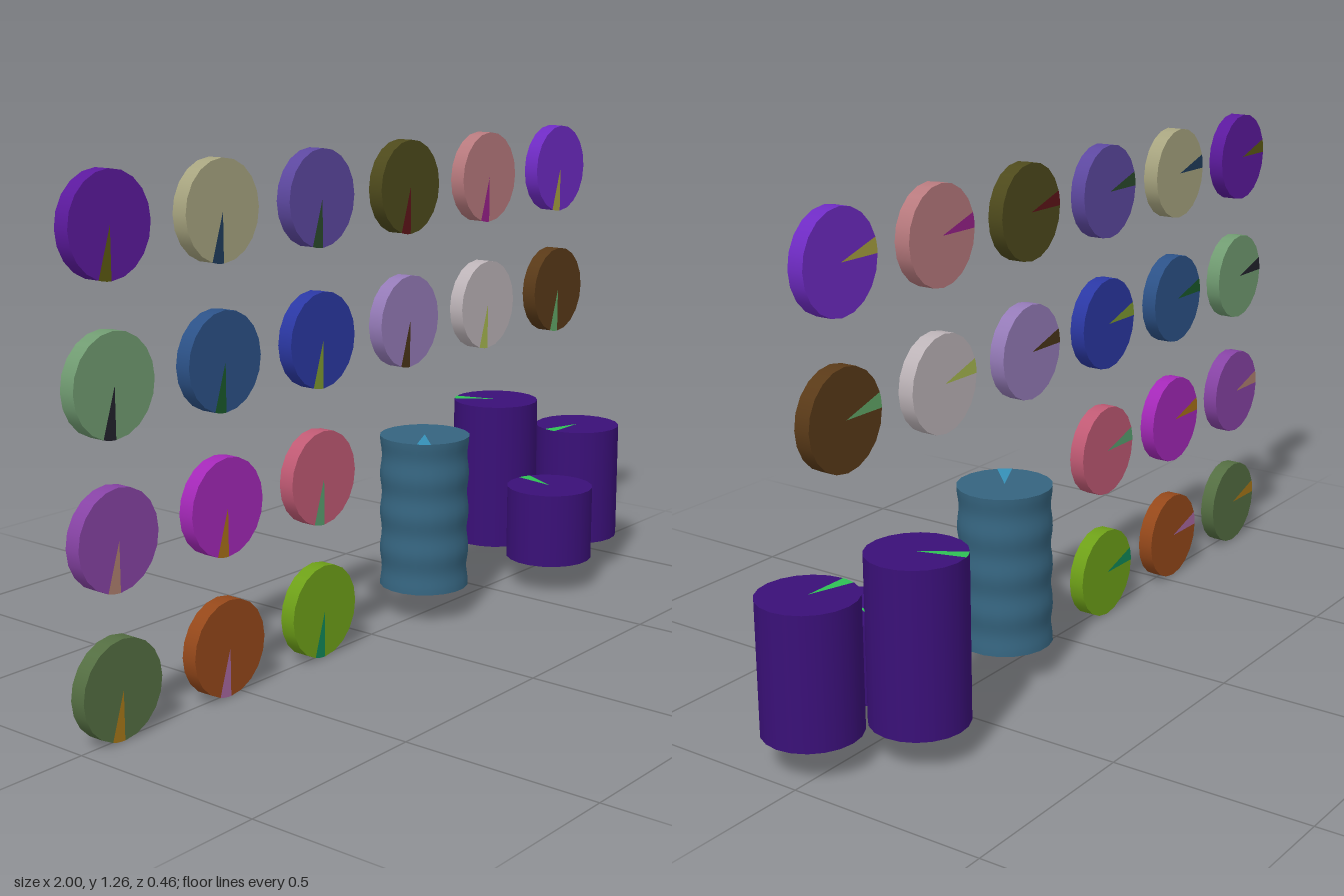
import * as THREE from 'three';

const SIDES = 20, R = 0.118, THICK = 0.04, Z0 = -0.007;
const SEG = (Math.PI * 2) / SIDES;
const rad = THREE.MathUtils.degToRad;

const paint = (color) => new THREE.MeshStandardMaterial({ color });

function add(group, name, geometry, material) {
  const mesh = new THREE.Mesh(geometry, material);
  mesh.name = name;
  group.add(mesh);
  return mesh;
}

// Round end face with one slice in the accent colour, starting at angle a
function cap(group, name, z, a, flip, main, accent) {
  const rest = new THREE.CircleGeometry(R, SIDES - 1, a + SEG, Math.PI * 2 - SEG);
  const slice = new THREE.CircleGeometry(R, 1, a, SEG);
  for (const g of [rest, slice]) {
    if (flip) g.rotateY(Math.PI);
    g.translate(0, 0, z);
  }
  add(group, name + 'Face', rest, main);
  add(group, name + 'Slice', slice, accent);
}

// Round piece along z: side wall plus two caps; frontA and backA are slice starts
function roundPiece(name, length, color, accentColor, frontA, backA, waves = 0) {
  const group = new THREE.Group();
  group.name = name;
  const main = paint(color), accent = paint(accentColor);
  let wall;
  if (waves) {
    // gently rippled wall
    const points = [], n = waves * 10;
    for (let i = 0; i <= n; i++) {
      const t = i / n;
      const r = R - 0.0025 * (1 - Math.cos(t * waves * Math.PI * 2));
      points.push(new THREE.Vector2(r, (t - 0.5) * length));
    }
    wall = new THREE.LatheGeometry(points, SIDES);
  } else {
    wall = new THREE.CylinderGeometry(R, R, length, SIDES, 1, true);
  }
  wall.rotateX(Math.PI / 2).rotateZ(frontA);
  add(group, 'rim', wall, main);
  cap(group, 'front', length / 2, frontA, false, main, accent);
  cap(group, 'back', -length / 2, backA, true, main, accent);
  return group;
}

export function createModel() {
  const model = new THREE.Group();
  model.name = 'discDisplay';

  // Wall of upright discs, top row first: [face colour, slice colour]
  const rows = [
    [[0x5c1a9e, 0x5c5a12], [0xa8a580, 0x1f3d5c], [0x5d48a0, 0x2a4a2c],
      [0x4e4a1c, 0x5e1418], [0xb87a7e, 0x98208a], [0x6f2bc4, 0xa8a040]],
    [[0x719c72, 0x22222c], [0x2c5288, 0x1a5a2a], [0x2b38a4, 0x7f9a30],
      [0x957bb8, 0x4a3418], [0xbdb4b8, 0xa8b850], [0x5a3a18, 0x62a868]],
    [[0x8743a5, 0xb08070], [0xa428b8, 0xa87018], [0xc05a74, 0x58a070]],
    [[0x546e42, 0xa87818], [0x95481a, 0xa868a0], [0x6ea018, 0x108858]],
  ];
  rows.forEach((row, j) => row.forEach(([color, accent], i) => {
    const disc = roundPiece('disc', THICK, color, accent, rad(252), 0);
    disc.position.set(-0.882 + i * 0.341, 1.146 - j * 0.341, Z0);
    model.add(disc);
  }));

  // Standing stacks: x, z, height, top slice angle, bottom slice angle
  const base = 0.087;
  function stack(name, x, z, height, topA, bottomA, color, accent, waves) {
    const piece = roundPiece(name, height, color, accent, rad(topA), rad(bottomA), waves);
    piece.rotation.x = -Math.PI / 2;
    piece.position.set(x, base + height / 2, z);
    model.add(piece);
  }
  stack('rippledStack', 0.231, Z0, 0.404, 207, 225, 0x35647f, 0x3590b8, 4);
  for (const [x, z, h, top, bottom] of [
    [0.705, -0.113, 0.404, 106, 142],
    [0.882, 0.05, 0.323, 162, 144],
    [0.645, 0.115, 0.2, 62, 242],
  ]) stack('plainStack', x, z, h, top, bottom, 0x3a1078, 0x2fc055, 0);

  return model;
}
